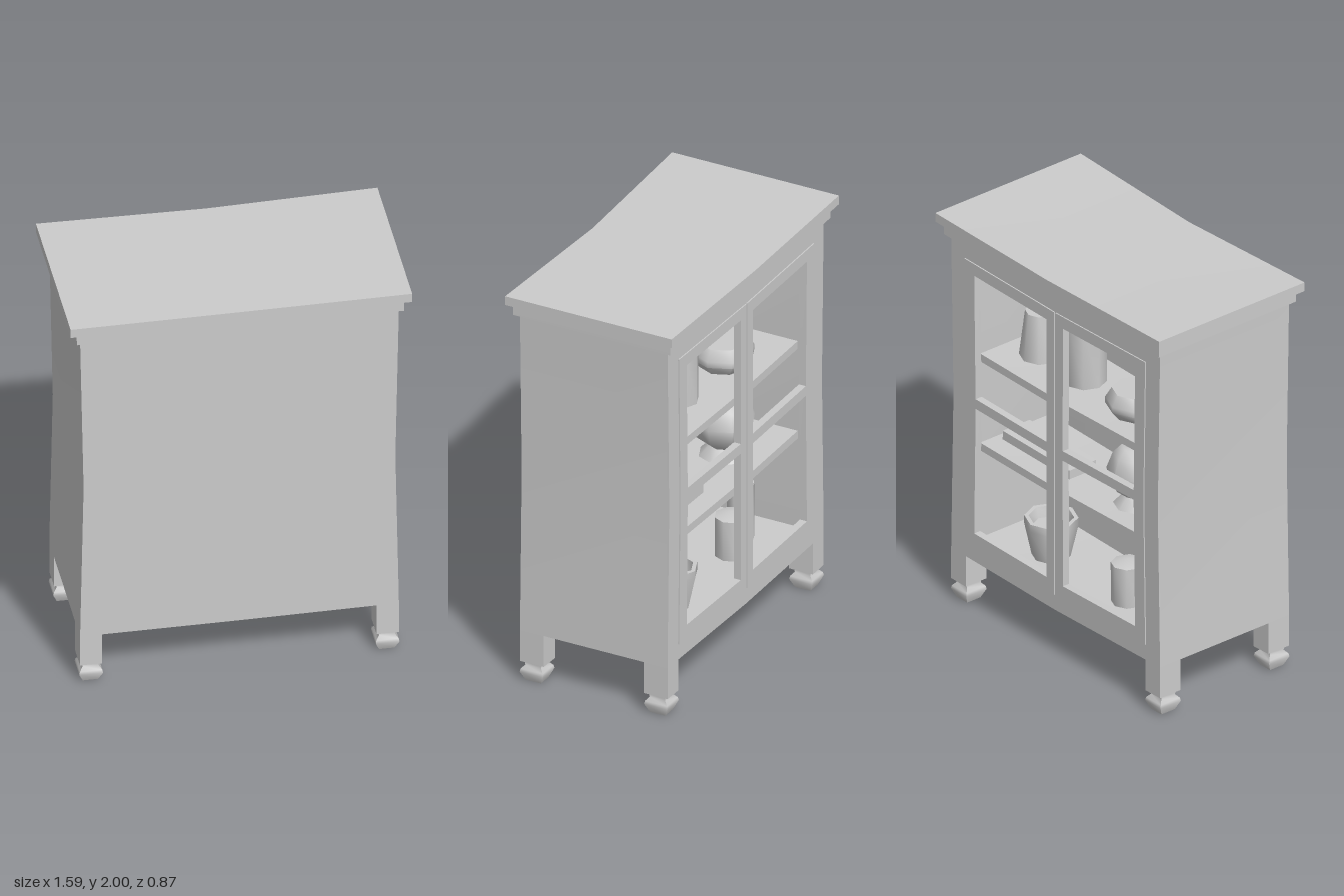
import * as THREE from 'three';
import { toCreasedNormals } from 'three/addons/utils/BufferGeometryUtils.js';

const material = new THREE.MeshStandardMaterial({ color: 0xcccccc, side: THREE.DoubleSide });

// Slightly wonky hand-made bend: the middle sags, the +z face is pulled in, the sides pinch at mid height
function warp(geometry) {
  const p = geometry.attributes.position;
  for (let i = 0; i < p.count; i++) {
    const x = p.getX(i), y = p.getY(i), z = p.getZ(i);
    const mid = Math.max(0, 1 - Math.abs(x) / 0.795);
    const pinch = Math.max(0, 1 - Math.abs(y - 1.08) / 0.82);
    p.setXYZ(i, x * (1 - 0.022 * pinch), y - 0.015 * mid, z - 0.02 * mid * Math.max(0, z) / 0.43);
  }
  return geometry;
}

export function createModel() {
  const model = new THREE.Group();
  model.name = 'displayCabinet';

  const add = (name, geometry, parent = model) => {
    const mesh = new THREE.Mesh(toCreasedNormals(geometry, 0.95), material);
    mesh.name = name;
    parent.add(mesh);
  };
  const box = (name, x0, x1, y0, y1, z0, z1, parent = model) => {
    const g = new THREE.BoxGeometry(x1 - x0, y1 - y0, z1 - z0, 2, 2, 1);
    g.translate((x0 + x1) / 2, (y0 + y1) / 2, (z0 + z1) / 2);
    add(name, warp(g), parent);
  };
  const lathe = (profile, sides) =>
    new THREE.LatheGeometry(profile.map(([r, h]) => new THREE.Vector2(r, h)), sides);
  const turned = (name, profile, x, y, z) => add(name, warp(lathe(profile, 8).translate(x, y, z)));

  // Stepped top
  box('topSlab', -0.793, 0.793, 1.955, 2, -0.435, 0.433);
  box('topMoulding', -0.76, 0.76, 1.895, 1.955, -0.41, 0.41);

  // Thin outer shell
  box('solidPanel', -0.74, 0.74, 0.26, 1.9, 0.38, 0.386);
  box('frameTop', -0.62, 0.62, 1.8, 1.9, -0.385, -0.375);
  box('frameBottom', -0.62, 0.62, 0.26, 0.36, -0.385, -0.375);

  // Shallow display niche with two shelves
  box('nicheBack', -0.622, 0.622, 0.336, 1.82, 0.1, 0.106);
  box('nicheFloor', -0.622, 0.622, 0.332, 0.338, -0.375, 0.1);
  box('nicheCeiling', -0.622, 0.622, 1.82, 1.826, -0.375, 0.1);
  box('upperShelf', -0.622, 0.622, 1.265, 1.305, -0.32, 0.1);
  box('middleShelf', -0.622, 0.622, 0.8, 0.84, -0.32, 0.1);

  for (const s of [-1, 1]) {
    const span = (a, b) => (s > 0 ? [a, b] : [-b, -a]);
    box('sidePanel', ...span(0.734, 0.74), 0.26, 1.9, -0.375, 0.38);
    box('frameStile', ...span(0.62, 0.74), 0.26, 1.9, -0.385, -0.375);
    box('nicheSide', ...span(0.622, 0.628), 0.332, 1.826, -0.375, 0.106);

    // Glazed door frame with a middle bar
    const door = new THREE.Group();
    door.name = 'door';
    model.add(door);
    box('outerStile', ...span(0.572, 0.642), 0.34, 1.815, -0.391, -0.355, door);
    box('innerStile', ...span(0.004, 0.058), 0.34, 1.815, -0.391, -0.355, door);
    for (const [y0, y1] of [[0.34, 0.41], [1.065, 1.115], [1.755, 1.815]])
      box('rail', ...span(0.058, 0.572), y0, y1, -0.391, -0.355, door);

    // Legs with square bun feet
    for (const t of [-1, 1]) {
      const zs = t > 0 ? [0.262, 0.386] : [-0.385, -0.262];
      box('leg', ...span(0.637, 0.74), 0.1, 0.26, ...zs);
      const foot = lathe([[0, 0], [0.036, 0], [0.055, 0.045], [0.052, 0.06], [0.037, 0.078], [0.04, 0.1], [0, 0.1]], 4);
      foot.rotateY(Math.PI / 4).scale(Math.SQRT2, 1, 1.1 * Math.SQRT2).translate(s * 0.688, 0, t * 0.324);
      add('foot', foot);
    }
  }

  // Crockery and other things on the shelves
  turned('taperedJar', [[0, 0], [0.1, 0], [0.07, 0.23], [0, 0.23]], 0.44, 1.305, -0.11);
  turned('tallJar', [[0, 0], [0.1, 0], [0.1, 0.33], [0, 0.35]], 0.13, 1.305, -0.1);
  turned('wideBowl', [[0, 0], [0.11, 0], [0.15, 0.05], [0.15, 0.08], [0.12, 0.13], [0, 0.13]], -0.27, 1.305, -0.12);
  turned('roundVase', [[0, 0], [0.12, 0], [0.07, 0.05], [0.13, 0.1], [0.15, 0.18], [0.12, 0.26], [0.08, 0.3], [0, 0.3]], -0.28, 0.84, -0.12);
  box('flatBox', 0.1, 0.58, 0.84, 0.885, -0.22, -0.06);
  turned('flowerPot', [[0, 0], [0.09, 0], [0.125, 0.16], [0.125, 0.2], [0.105, 0.2], [0.09, 0.15], [0, 0.15]], 0.3, 0.338, -0.16);
  turned('smallJar', [[0, 0], [0.08, 0], [0.08, 0.2], [0, 0.22]], -0.26, 0.338, -0.17);
  turned('slimJar', [[0, 0], [0.065, 0], [0.065, 0.28], [0, 0.3]], -0.42, 0.338, -0.13);

  return model;
}
